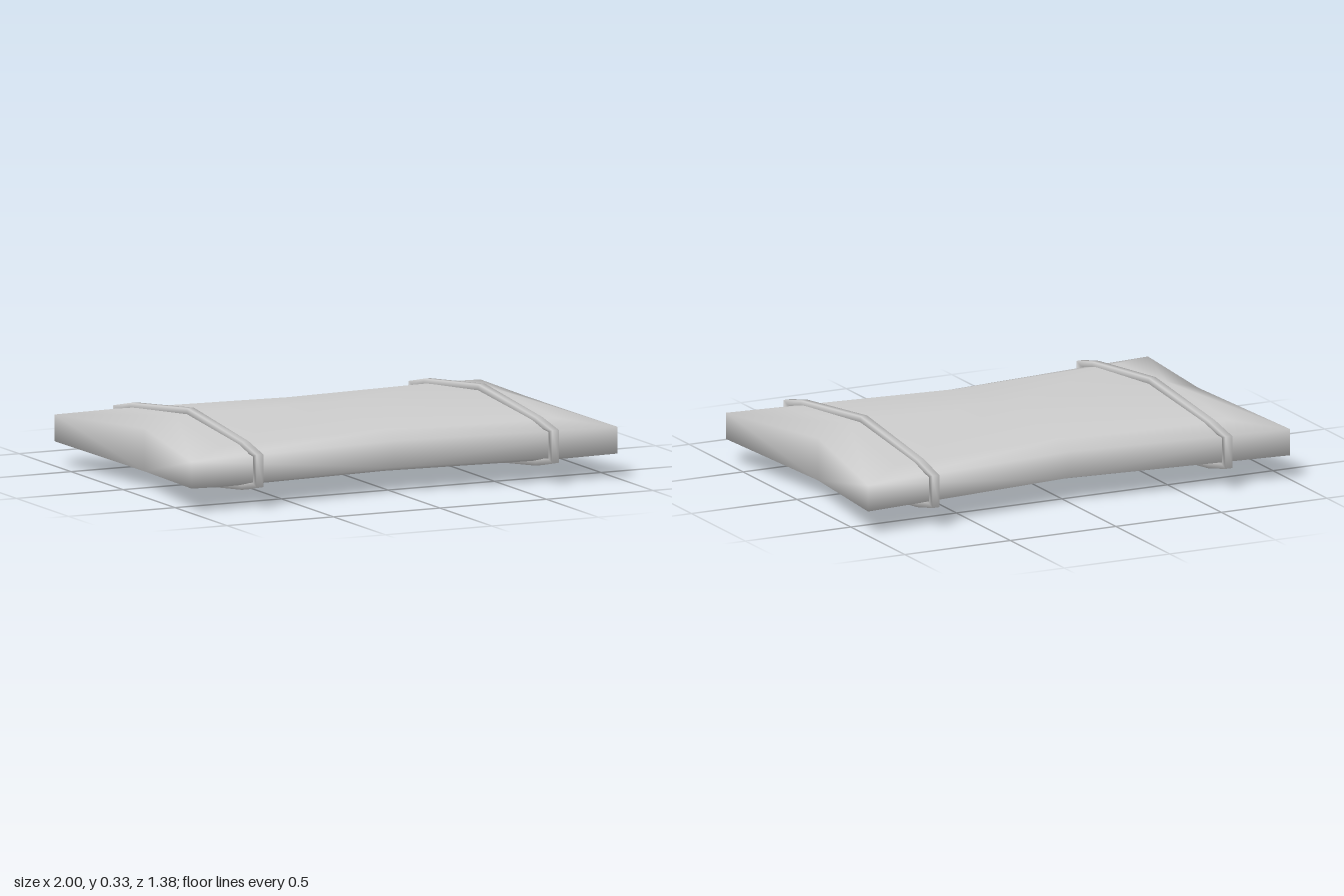
import * as THREE from 'three';

const MID = 0.167; // height of the symmetry plane
const grey = () => new THREE.MeshStandardMaterial({ color: 0xcccccc });

// Smooth indexed geometry from a flat position list
function build(positions, index) {
  const g = new THREE.BufferGeometry();
  g.setAttribute('position', new THREE.Float32BufferAttribute(positions, 3));
  g.setIndex(index);
  g.computeVertexNormals();
  return g;
}

// Eight points round the cushion: corners, side middles and end middles, as [x, z, half height]
function outline(corner, end, side) {
  const [cx, cz, ch] = corner;
  return [
    [end[0], 0, end[1]], [cx, cz, ch], [0, side[0], side[1]], [-cx, cz, ch],
    [-end[0], 0, end[1]], [-cx, -cz, ch], [0, -side[0], side[1]], [cx, -cz, ch],
  ];
}

// Cushion: centre point, shoulder ring and rim ring, mirrored underneath
function cushionGeometry() {
  const rim = outline([1, 0.66, 0.057], [0.9, 0.092], [0.56, 0.057]);
  const shoulder = outline([0.79, 0.52, 0.087], [0.75, 0.137], [0.46, 0.087]);
  const pos = [0, MID + 0.137, 0];
  for (const [ring, s] of [[shoulder, 1], [rim, 1], [rim, -1], [shoulder, -1]])
    for (const [x, z, h] of ring) pos.push(x, MID + s * h, z);
  pos.push(0, MID - 0.137, 0);
  const last = 33, index = [];
  for (let k = 0; k < 8; k++) {
    const n = (k + 1) % 8;
    index.push(0, 1 + n, 1 + k, last, 25 + k, 25 + n);
    for (let r = 0; r < 3; r++) {
      const a = 1 + r * 8 + k, b = 1 + r * 8 + n, c = a + 8, d = b + 8;
      // diagonals always run out to the corners
      const toCorner = r === 0 ? k % 2 === 0 : k % 2 === 1;
      if (toCorner) index.push(a, b, d, a, d, c);
      else index.push(a, b, c, b, d, c);
    }
  }
  return build(pos, index);
}

// Strap: square section swept round the cushion, bowing slightly inward at the middle
function strapGeometry() {
  const half = [[0.69, 0.07], [0.54, 0.103], [0, 0.163], [-0.54, 0.103], [-0.69, 0.07]];
  const loop = [...half, ...half.map(([z, h]) => [-z, -h])];
  const pos = [], index = [], t = 0.034, w = 0.016;
  for (const [z, h] of loop) {
    const x = 0.683 + 0.011 * Math.pow(Math.abs(z) / 0.69, 2);
    const zi = Math.abs(z) > 0.6 ? z - Math.sign(z) * t : z;
    const hi = h - Math.sign(h) * (Math.abs(z) > 0.6 ? 0.012 : t);
    pos.push(x - w, MID + h, z, x + w, MID + h, z, x + w, MID + hi, zi, x - w, MID + hi, zi);
  }
  const count = loop.length;
  for (let i = 0; i < count; i++)
    for (let j = 0; j < 4; j++) {
      const a = i * 4 + j, b = i * 4 + (j + 1) % 4;
      const c = ((i + 1) % count) * 4 + j, d = ((i + 1) % count) * 4 + (j + 1) % 4;
      index.push(a, b, c, b, d, c);
    }
  return build(pos, index);
}

export function createModel() {
  const model = new THREE.Group();
  model.name = 'strappedCushion';

  const cushion = new THREE.Mesh(cushionGeometry(), grey());
  cushion.name = 'cushion';
  model.add(cushion);

  // The right strap is the left one turned half way round
  for (const [name, turn] of [['leftStrap', 0], ['rightStrap', Math.PI]]) {
    const strap = new THREE.Mesh(strapGeometry(), grey());
    strap.name = name;
    strap.rotation.y = turn;
    model.add(strap);
  }
  return model;
}
